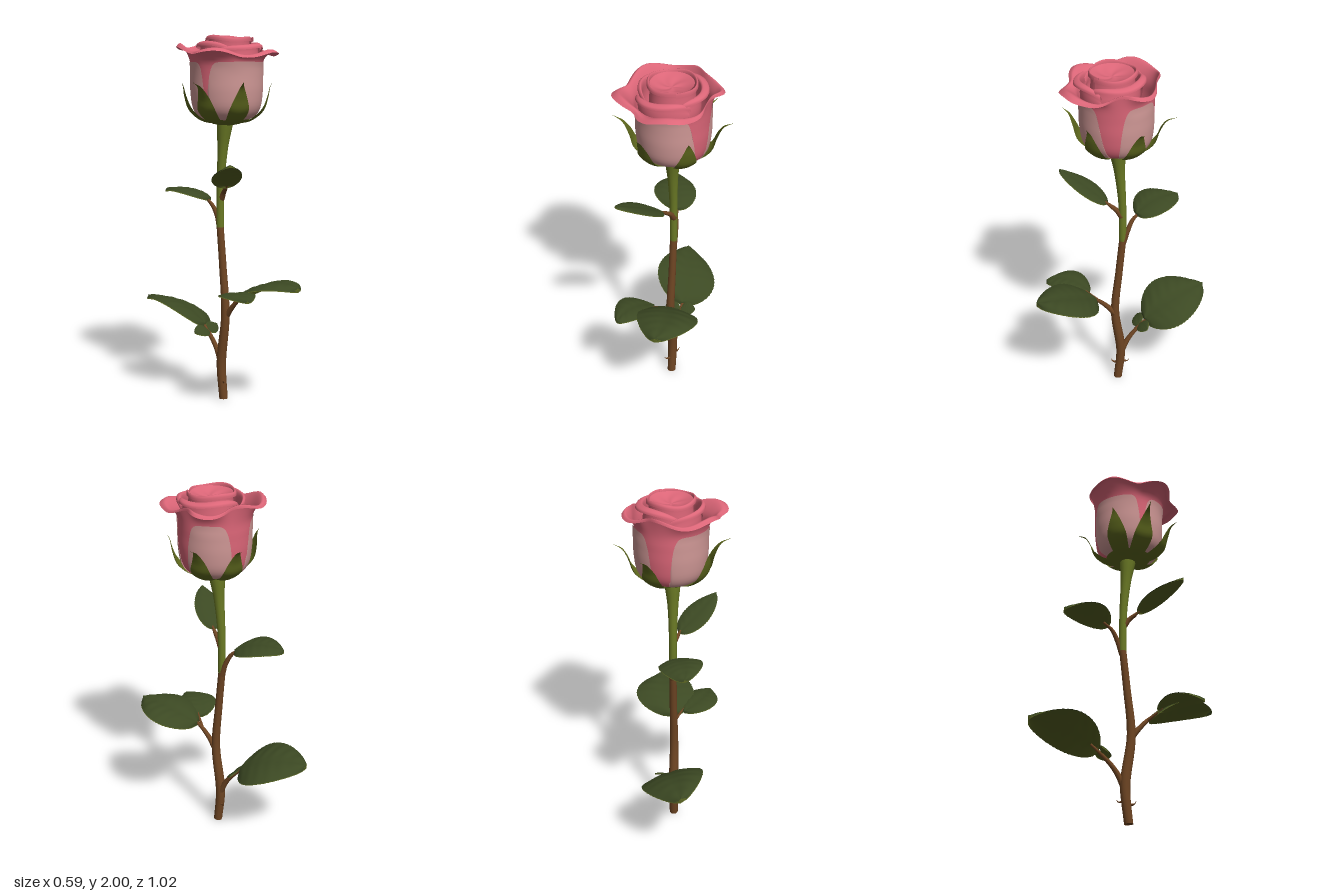
import * as THREE from 'three';
import { mergeVertices } from 'three/addons/utils/BufferGeometryUtils.js';

const V = (x, y, z) => new THREE.Vector3(x, y, z);
const RAD = Math.PI / 180;

function mat(name, color) {
  const m = new THREE.MeshStandardMaterial({ color, side: THREE.DoubleSide });
  m.name = name;
  return m;
}

// Smooth surface from a rule fn(u, v) -> Vector3, seams welded
function sheet(name, material, nu, nv, fn) {
  const pos = [], idx = [];
  for (let j = 0; j <= nv; j++)
    for (let i = 0; i <= nu; i++) pos.push(...fn(i / nu, j / nv).toArray());
  for (let j = 0; j < nv; j++)
    for (let i = 0; i < nu; i++) {
      const a = j * (nu + 1) + i, b = a + nu + 1;
      idx.push(a, a + 1, b, a + 1, b + 1, b);
    }
  let g = new THREE.BufferGeometry();
  g.setAttribute('position', new THREE.Float32BufferAttribute(pos, 3));
  g.setIndex(idx);
  g = mergeVertices(g, 1e-5);
  g.computeVertexNormals();
  const mesh = new THREE.Mesh(g, material);
  mesh.name = name;
  return mesh;
}

// Tube whose radius follows a list of values
function branch(name, material, points, radii, n = 12, steps = 24) {
  const path = new THREE.CatmullRomCurve3(points);
  const rad = new THREE.SplineCurve(radii.map((r, i) => new THREE.Vector2(i, r)));
  const frames = path.computeFrenetFrames(steps, false);
  return sheet(name, material, n, steps, (u, v) => {
    const k = Math.round(v * steps), r = rad.getPoint(v).y, a = (u % 1) * 2 * Math.PI;
    return path.getPointAt(v)
      .addScaledVector(frames.normals[k], r * Math.cos(a))
      .addScaledVector(frames.binormals[k], r * Math.sin(a));
  });
}

// Pointed oval leaf: arched spine, folded midrib, toothed edge, separate upper and under faces
function leaf(name, [topMat, underMat], base, mid, tip, half, roll = 0) {
  const ctrl = mid.clone().multiplyScalar(2).addScaledVector(base, -0.5).addScaledVector(tip, -0.5);
  const spine = new THREE.QuadraticBezierCurve3(base, ctrl, tip);
  const d = tip.clone().sub(base);
  const side = V(-d.z, 0, d.x).normalize();
  side.y = roll;
  side.normalize();
  const normal = side.clone().cross(d).normalize();
  const face = (drop) => (u, v) => {
    const s = u * 2 - 1, a = Math.abs(s);
    const tooth = 1 + (a === 1 ? 0.02 * (Math.round(v * 36) % 2) : 0);
    const w = half * Math.pow(Math.max(Math.sin(Math.PI * Math.pow(v, 0.85)), 0), 0.62) * tooth;
    const p = spine.getPoint(v).addScaledVector(side, s * w).addScaledVector(normal, -drop);
    p.y += half * (0.16 * a - 0.28 * a * a) + 0.04 * half * Math.sin(v * 40 - a * 6) * a * (1 - a);
    return p;
  };
  const g = new THREE.Group();
  g.name = name;
  g.add(sheet(name + 'Top', topMat, 12, 36, face(0)), sheet(name + 'Under', underMat, 12, 36, face(0.004)));
  return g;
}

// Outline radius of the open outer petals, every 15 degrees from the front
const RIM = [.28, .285, .285, .26, .24, .215, .22, .265, .27, .25, .225, .235,
  .245, .26, .27, .27, .265, .25, .245, .285, .29, .265, .235, .26, .28];
const rimCurve = new THREE.SplineCurve(RIM.map((r, i) => new THREE.Vector2(i, r)));

// Outer petal surface: cup body flaring into the wavy rim
function outer(theta, v, grow = 0) {
  const t = (((theta / (2 * Math.PI)) % 1) + 1) % 1;
  const rim = rimCurve.getPoint(t).y;
  const rimY = 1.915 - 0.02 * Math.cos(theta) + 0.014 * Math.sin(5 * theta);
  const c = new THREE.SplineCurve([[.03, 1.545], [.13, 1.56], [.175, 1.61], [.19, 1.7], [.192, 1.79],
    [.198, 1.87], [.2 + (rim - .2) * 0.6, rimY + 0.014], [rim, rimY]].map(p => new THREE.Vector2(...p)));
  const p = c.getPoint(v), r = p.x + grow, k = Math.max(0, v - 0.6) / 0.4;
  return V(0.012 * (1 - k) + r * Math.sin(theta), p.y, 0.035 + 0.015 * k + r * Math.cos(theta));
}

// Upright inner petal with a rolled lip, spanning angles a0 to a1
function innerPetal(name, material, a0, a1, r, top, dip, lip) {
  return sheet(name, material, 48, 16, (u, v) => {
    const a = (a0 + (a1 - a0) * u) * RAD, e = Math.abs(2 * u - 1);
    const h = top - dip * e ** 4 + 0.006 * Math.sin(a * 3);
    const R = r * (1.05 - 0.1 * u), q = lip * (1 - 0.8 * e * e);
    const c = new THREE.SplineCurve([[R * .8, 1.72], [R * .98, 1.85], [R * .95, h - .03],
      [R, h], [R + q, h - .008], [R + q * 1.2, h - .022]].map(p => new THREE.Vector2(...p)));
    const p = c.getPoint(v);
    return V(0.012 + p.x * Math.sin(a), p.y, 0.058 + p.x * Math.cos(a));
  });
}

export function createModel() {
  const root = new THREE.Group();
  root.name = 'rose';
  const pink = mat('petal pink', 0xdc6678);
  const pale = mat('pale petal pink', 0xd09896);
  const leafGreen = mat('leaf green', 0x3c4923);
  const underGreen = mat('leaf underside olive', 0x566021);
  const sepalGreen = mat('sepal green', 0x5f691e);
  const stemGreen = mat('stem green', 0x6b7a25);
  const bark = mat('bark brown', 0x6e4523);
  const leafMats = [leafGreen, underGreen];
  const add = (...m) => root.add(...m);

  // Stem: woody below, green above, flaring under the bloom
  add(branch('lowerStem', bark, [V(-.005, 0, .03), V(-.005, .2, .012), V(-.005, .48, .045),
    V(-.003, .75, .022), V(-.003, .97, 0)], [.024, .027, .024, .021, .02]));
  add(branch('upperStem', stemGreen, [V(-.003, .965, 0), V(-.002, 1.2, .003), V(0, 1.4, .018),
    V(.003, 1.5, .027), V(.006, 1.55, .033)], [.021, .021, .023, .03, .046]));
  const foot = new THREE.Mesh(new THREE.CircleGeometry(.024, 16), bark);
  foot.name = 'stemFoot';
  foot.rotation.x = Math.PI / 2;
  foot.position.set(-.005, .001, .03);
  add(foot);

  // Green cup where the sepals meet
  const cup = new THREE.Mesh(new THREE.LatheGeometry(
    [[.03, 1.522], [.07, 1.53], [.11, 1.546], [.125, 1.556]].map(p => new THREE.Vector2(...p)), 32), sepalGreen);
  cup.name = 'sepalCup';
  cup.position.set(.01, 0, .035);
  add(cup);

  // Leaf stalks
  const stalks = [
    [V(0, .19, .01), V(0, .27, -.03), V(0, .34, -.085), V(0, .42, -.17)],
    [V(0, .47, .045), V(0, .52, .085), V(.005, .57, .13), V(.02, .625, .19)],
    [V(0, .95, 0), V(0, 1.03, -.03), V(-.01, 1.085, -.06), V(-.02, 1.125, -.11)],
    [V(0, 1.12, .005), V(-.008, 1.16, .035), V(-.02, 1.18, .06), V(-.035, 1.205, .09)],
  ];
  for (const s of stalks) add(branch('leafStalk', bark, s, [.019, .014, .011, .006], 10, 12));
  add(branch('sideStalk', bark, [V(.005, .57, .13), V(-.02, .6, .17), V(-.05, .63, .21)], [.008, .007, .004], 8, 8));

  // Leaves
  add(leaf('lowerBackLeaf', leafMats, V(0, .40, -.13), V(-.035, .5, -.3), V(-.1, .515, -.51), .172, -.26));
  add(leaf('lowerFrontLeaf', leafMats, V(.02, .61, .16), V(.08, .69, .32), V(.085, .69, .51), .165, .02));
  add(leaf('sideFrontLeaf', leafMats, V(-.05, .62, .18), V(-.14, .66, .28), V(-.18, .645, .405), .098));
  add(leaf('upperBackLeaf', leafMats, V(-.01, 1.12, -.08), V(-.07, 1.165, -.2), V(-.1, 1.155, -.34), .115, -.08));
  add(leaf('upperFrontLeaf', leafMats, V(-.03, 1.2, .08), V(-.12, 1.275, .18), V(-.21, 1.34, .3), .08, -.1));
  add(leaf('leftLeaflet', leafMats, V(0, .37, -.1), V(.04, .382, -.11), V(.085, .385, -.12), .04, -.8));
  add(leaf('rightLeaflet', leafMats, V(0, .36, -.09), V(-.05, .378, -.1), V(-.095, .37, -.11), .04, .8));

  // Thorns near the foot
  for (const [x, y, z, a] of [[-.005, .1, .03, -40], [0, .12, .01, 150]]) {
    const d = V(Math.sin(a * RAD), 0, Math.cos(a * RAD)), p = V(x, y, z);
    add(branch('thorn', bark, [p, p.clone().addScaledVector(d, .034),
      p.clone().addScaledVector(d, .046).add(V(0, .016, 0))], [.008, .005, .0005], 6, 6));
  }

  // Sepals: curved blades hugging the bloom, tips bent outward to the given reach
  const sepalWidth = new THREE.SplineCurve([.03, .048, .055, .034, .011, .001].map((w, i) => new THREE.Vector2(i, w)));
  for (const [deg, reach] of [[283, .31], [335, .285], [38, .25], [103, .3], [153, .31], [238, .245]]) {
    const k = (reach - .228) / .077;
    const path = new THREE.CatmullRomCurve3([V(.03, 1.53, 0), V(.13, 1.545, 0), V(.2, 1.6, 0),
      V(.225, 1.67, 0), V(.228 + .03 * k, 1.73, 0), V(reach, 1.757, 0)]);
    add(sheet('sepal', sepalGreen, 8, 24, (u, v) => {
      const p = path.getPoint(v), s = u * 2 - 1, w = sepalWidth.getPoint(v).y;
      const a = deg * RAD + Math.sin(v * 3) * .04;
      const r = p.x - 1.6 * (s * w) ** 2;
      return V(.01 + r * Math.sin(a) + s * w * Math.cos(a), p.y + .2 * w * s * s,
        .035 + r * Math.cos(a) - s * w * Math.sin(a));
    }));
  }

  // Outer petals, and the pale arched patch on the back of each: start, end, slant of the end, squareness
  add(sheet('outerPetals', pink, 120, 32, (u, v) => outer((u % 1) * 2 * Math.PI, v)));
  for (const [a0, a1, slant, square] of [[-76, 53, 20, 14], [79, 157, 0, 6], [184, 282, 0, 10]]) {
    add(sheet('palePatch', pale, 48, 20, (u, v) => {
      const s = u * 2 - 1;
      const end = a1 + slant * (1 - v);
      return outer((a0 + (end - a0) * u) * RAD, .03 + v * (.665 - .45 * Math.abs(s) ** square), .004);
    }));
  }

  // Spiralling inner petals
  add(innerPetal('leftInnerPetal', pink, 185, 325, .158, 1.962, .035, .016));
  add(innerPetal('frontInnerPetal', pink, 295, 415, .165, 1.952, .035, .026));
  add(innerPetal('rightInnerPetal', pink, 35, 200, .148, 1.968, .035, .03));

  // Tight centre bud with a shallow folded hollow
  add(innerPetal('centreBud', pink, 30, 400, .118, 1.994, .012, .01));
  add(sheet('centreHollow', pink, 48, 8, (u, v) => {
    const a = (u % 1) * 2 * Math.PI, r = .112 * v;
    const y = 1.955 + .026 * v * v + .002 * Math.sin(a * 5 + v * 4) * v * (1 - v) * 4;
    return V(.012 + r * Math.sin(a), y, .058 + r * Math.cos(a));
  }));
  return root;
}
